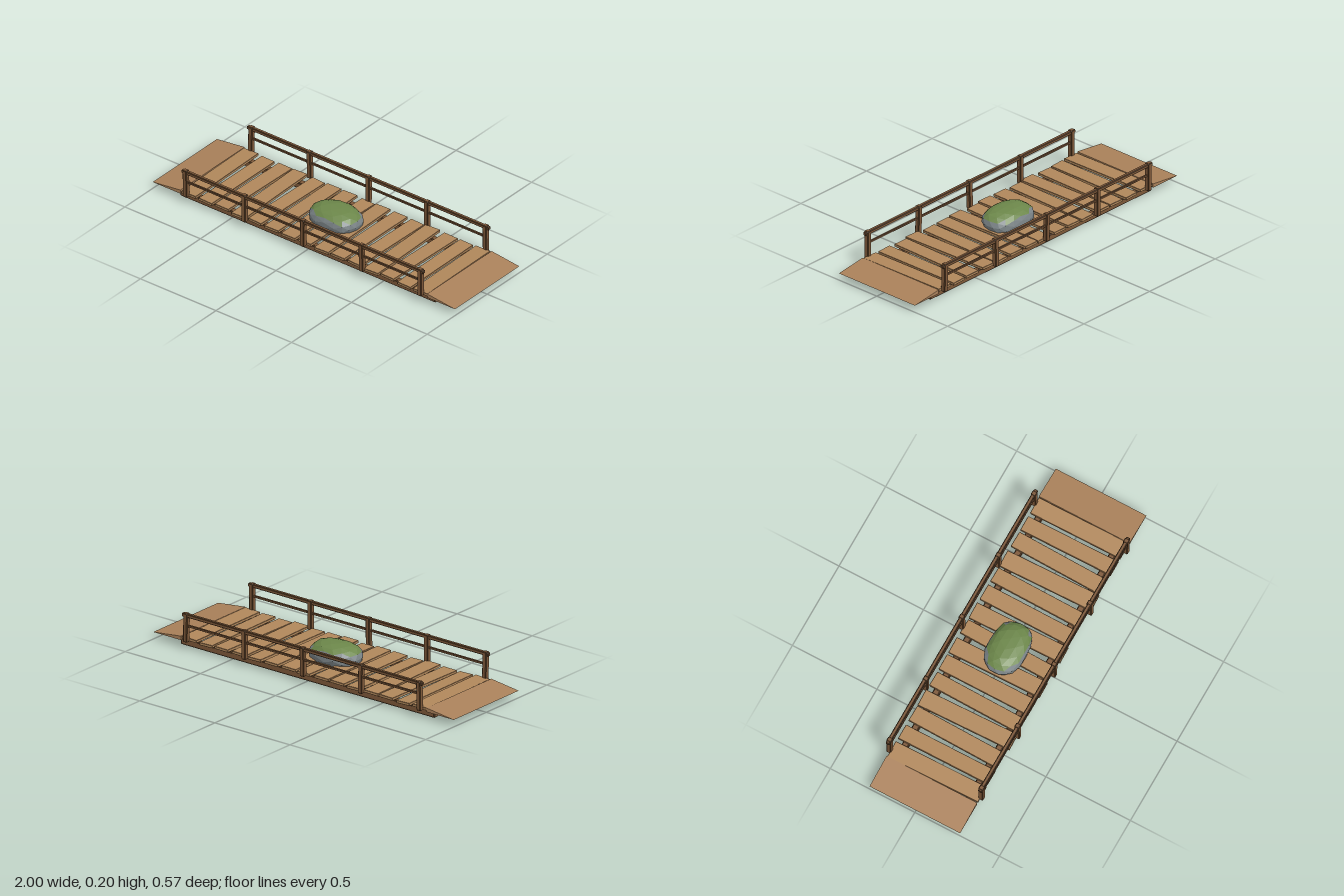
import * as THREE from 'three';
import { ConvexGeometry } from 'three/addons/geometries/ConvexGeometry.js';

const mat = (name, color) => {
  const m = new THREE.MeshStandardMaterial({ color, flatShading: true });
  m.name = name;
  return m;
};

// Splits triangles into two material groups by a test on each face
function splitFaces(geometry, isSecond) {
  const src = geometry.index ? geometry.toNonIndexed() : geometry;
  const p = src.attributes.position;
  const lists = [[], []];
  const tri = new THREE.Triangle();
  const normal = new THREE.Vector3(), mid = new THREE.Vector3();
  for (let i = 0; i < p.count; i += 3) {
    tri.setFromAttributeAndIndices(p, i, i + 1, i + 2);
    tri.getNormal(normal);
    tri.getMidpoint(mid);
    const list = lists[isSecond(normal, mid) ? 1 : 0];
    for (const v of [tri.a, tri.b, tri.c]) list.push(v.x, v.y, v.z);
  }
  const out = new THREE.BufferGeometry();
  out.setAttribute('position', new THREE.Float32BufferAttribute(lists.flat(), 3));
  out.addGroup(0, lists[0].length / 3, 0);
  out.addGroup(lists[0].length / 3, lists[1].length / 3, 1);
  out.computeVertexNormals();
  return out;
}

// Box with chamfered edges; chamfers go to the second material
function timber(w, h, d, c) {
  const pts = [];
  for (const x of [-1, 1]) for (const y of [-1, 1]) for (const z of [-1, 1])
    for (let axis = 0; axis < 3; axis++) {
      const cut = [c, c, c];
      cut[axis] = 0;
      pts.push(new THREE.Vector3(x * (w / 2 - cut[0]), y * (h / 2 - cut[1]), z * (d / 2 - cut[2])));
    }
  return splitFaces(new ConvexGeometry(pts),
    n => Math.max(Math.abs(n.x), Math.abs(n.y), Math.abs(n.z)) < 0.98);
}

export function createModel() {
  const model = new THREE.Group();
  model.name = 'footbridge';

  const frameWood = mat('frame wood', 0x7d5839);
  const frameEdge = mat('frame edge', 0x50371f);
  const plankWood = mat('plank wood', 0xb0875b);
  const plankEdge = mat('plank edge', 0x7c5a3a);
  const rampWood = mat('ramp wood', 0xaa815a);
  const stone = mat('stone', 0x7c8588);
  const moss = mat('moss', 0x6c874a);

  const add = (name, geometry, material, x, y, z, parent = model) => {
    const m = new THREE.Mesh(geometry, material);
    m.name = name;
    m.position.set(x, y, z);
    parent.add(m);
    return m;
  };
  const frame = [frameWood, frameEdge];

  // Support beams
  const beam = timber(1.69, 0.037, 0.037, 0.005);
  for (const s of [-1, 1]) add('supportBeam', beam, frame, 0, 0.0195, s * 0.217);

  // Deck planks, each slightly uneven
  const deck = new THREE.Group();
  deck.name = 'deck';
  model.add(deck);
  for (let i = 0; i < 15; i++) {
    const wobble = Math.sin(i * 2.4 + 0.6), wobble2 = Math.sin(i * 4.1 + 1);
    const plank = add('plank', timber(0.091 + 0.005 * wobble2, 0.015, 0.528 + 0.008 * wobble, 0.0015),
      [plankWood, plankEdge], (i - 7) * 0.1095, 0.051 + 0.002 * wobble2, 0.003 * wobble, deck);
    plank.rotation.set(0.003 * wobble2, 0.026 * wobble, 0.035 * wobble2);
  }

  // Wedge ramps at both ends
  const profile = new THREE.Shape([
    new THREE.Vector2(0.817, 0.04), new THREE.Vector2(1, 0.04), new THREE.Vector2(0.817, 0.062),
  ]);
  const wedge = new THREE.ExtrudeGeometry(profile, { depth: 0.536, bevelEnabled: false });
  wedge.translate(0, 0, -0.268);
  add('rampLeft', wedge, rampWood, 0, 0, 0);
  add('rampRight', wedge, rampWood, 0, 0, 0).rotation.y = Math.PI;

  // Railings: five posts with a top and a middle rail per side
  const post = timber(0.027, 0.162, 0.028, 0.004);
  const topRail = timber(1.6, 0.02, 0.021, 0.004);
  const midRail = timber(1.56, 0.012, 0.012, 0.002);
  for (const s of [-1, 1]) {
    const railing = new THREE.Group();
    railing.name = s > 0 ? 'frontRailing' : 'backRailing';
    model.add(railing);
    for (let i = 0; i < 5; i++) {
      const p = add('post', post, frame, (i - 2) * 0.388, 0.122, s * 0.272, railing);
      p.rotation.set(0.012 * Math.sin(i * 3 + s), 0, 0.018 * Math.sin(i * 2.2 + s));
    }
    add('topRail', topRail, frame, 0, 0.191, s * 0.273, railing);
    add('middleRail', midRail, frame, 0, 0.133, s * 0.272, railing);
  }

  // Boulder: flattened, slightly boxy faceted ball with moss on top
  const ball = new THREE.IcosahedronGeometry(1, 2);
  const pos = ball.attributes.position;
  const v = new THREE.Vector3();
  const squash = t => Math.sign(t) * Math.pow(Math.abs(t), 0.88);
  for (let i = 0; i < pos.count; i++) {
    v.fromBufferAttribute(pos, i);
    const bump = 1 + 0.035 * Math.sin(v.x * 5 + 1) * Math.cos(v.z * 4 + v.y * 3);
    pos.setXYZ(i, squash(v.x) * 0.152 * bump, squash(v.y) * 0.067 * bump, squash(v.z) * 0.108 * bump);
  }
  const boulder = splitFaces(ball, (n, m) =>
    m.y + 0.006 * Math.sin(m.x * 45 + 1) * Math.cos(m.z * 40) > 0.033);
  add('mossyBoulder', boulder, [stone, moss], 0, 0.085, 0);

  return model;
}
